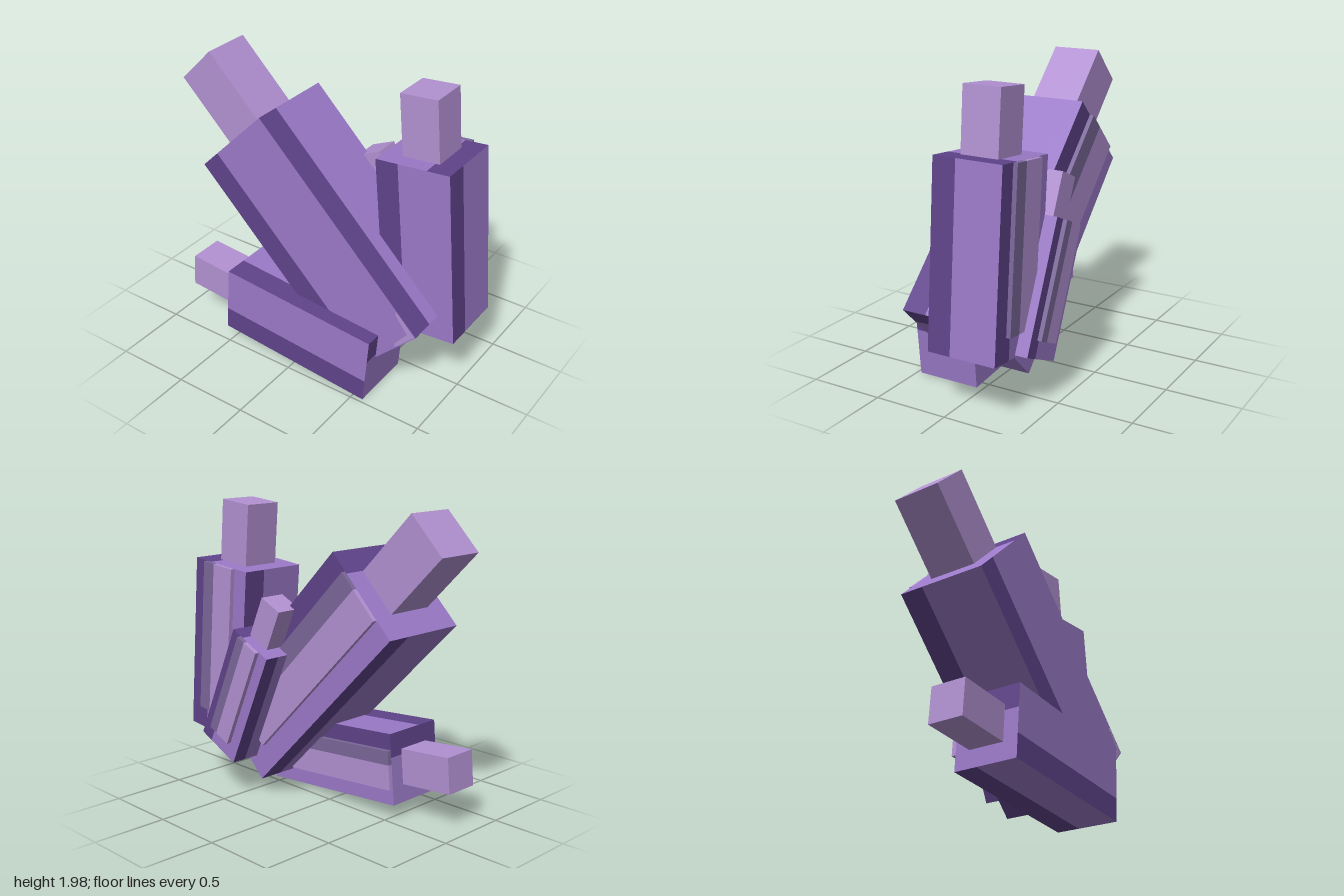
import * as THREE from 'three';
import { mergeGeometries } from 'three/addons/utils/BufferGeometryUtils.js';

const mat = (name, color) => {
  const m = new THREE.MeshStandardMaterial({ color });
  m.name = name;
  return m;
};

export function createModel() {
  const light = mat('pale lilac', 0xb291d2);
  const mid = mat('violet', 0x9a79c7);
  const dark = mat('deep violet', 0x5f438a);
  const dull = mat('dusty violet', 0x7b6799);

  const root = new THREE.Group();
  root.name = 'crystalCluster';

  const add = (parent, name, geometry, material, x = 0, y = 0, z = 0) => {
    const mesh = new THREE.Mesh(geometry, material);
    mesh.name = name;
    mesh.position.set(x, y, z);
    parent.add(mesh);
    return mesh;
  };

  // Box whose every face has one dark stripe along an edge
  function stripedBox(w, h, d, stripe) {
    const main = [], stripes = [];
    const face = (fw, fh, dist, rotX, rotY, atEnd) => {
      const strip = (list, from, to) => list.push(
        new THREE.PlaneGeometry(to - from, fh)
          .translate((from + to) / 2 - fw / 2, 0, dist).rotateX(rotX).rotateY(rotY));
      strip(stripes, atEnd ? fw - stripe : 0, atEnd ? fw : stripe);
      strip(main, atEnd ? 0 : stripe, atEnd ? fw - stripe : fw);
    };
    for (let i = 0; i < 4; i++) {
      face(i % 2 ? d : w, h, (i % 2 ? w : d) / 2, 0, i * Math.PI / 2, false);
    }
    face(w, d, h / 2, -Math.PI / 2, 0, true);
    face(w, d, h / 2, Math.PI / 2, 0, true);
    return mergeGeometries([mergeGeometries(main), mergeGeometries(stripes)], true);
  }

  // Crystal: striped body, slim core rising from its end, raised panel on the back
  function crystal({ name, pos, tilt, w, h, d, core, rise, stripe }) {
    const g = new THREE.Group();
    g.name = name;
    g.position.set(...pos);
    g.rotation.z = THREE.MathUtils.degToRad(tilt);
    add(g, 'body', stripedBox(w, h, d, stripe), [mid, dark], 0, h / 2, 0);
    add(g, 'core', new THREE.BoxGeometry(core, rise + 0.1, core), light, 0, h + (rise - 0.1) / 2, 0);

    const pw = w * 0.55, ph = h * 0.87, pd = 0.03, py = h - ph / 2 - 0.001;
    const pz = -d / 2 - pd / 2 + 0.001, edge = pw * 0.36;
    add(g, 'backPanel', new THREE.BoxGeometry(pw - edge, ph, pd), light, -edge / 2, py, pz);
    add(g, 'backPanelStripe', new THREE.BoxGeometry(edge, ph, pd), dull, (pw - edge) / 2, py, pz);
    root.add(g);
  }

  [
    { name: 'largeCrystal', pos: [0.645, 0.345, 0.065], tilt: 45, w: 0.665, h: 1.626, d: 0.61, core: 0.33, rise: 0.53, stripe: 0.165 },
    { name: 'uprightCrystal', pos: [0.748, 0.393, -0.128], tilt: 5, w: 0.507, h: 1.175, d: 0.465, core: 0.255, rise: 0.405, stripe: 0.155 },
    { name: 'lyingCrystal', pos: [0.595, 0.245, 0.26], tilt: 85.1, w: 0.47, h: 1.115, d: 0.43, core: 0.235, rise: 0.38, stripe: 0.155 },
    { name: 'smallCrystal', pos: [0.619, 0.337, -0.285], tilt: 24.5, w: 0.35, h: 0.845, d: 0.32, core: 0.175, rise: 0.285, stripe: 0.1 },
  ].forEach(crystal);

  // Pale chevron near the foot of the large crystal
  const chevron = new THREE.Shape([
    [0.735, 0.445], [0.87, 0.58], [0.735, 0.715], [0.735, 0.69], [0.82, 0.58], [0.735, 0.475],
  ].map(([x, y]) => new THREE.Vector2(x, y)));
  add(root, 'footChevron', new THREE.ExtrudeGeometry(chevron, { depth: 0.004, bevelEnabled: false }), light, 0, 0, 0.368);

  return root;
}
